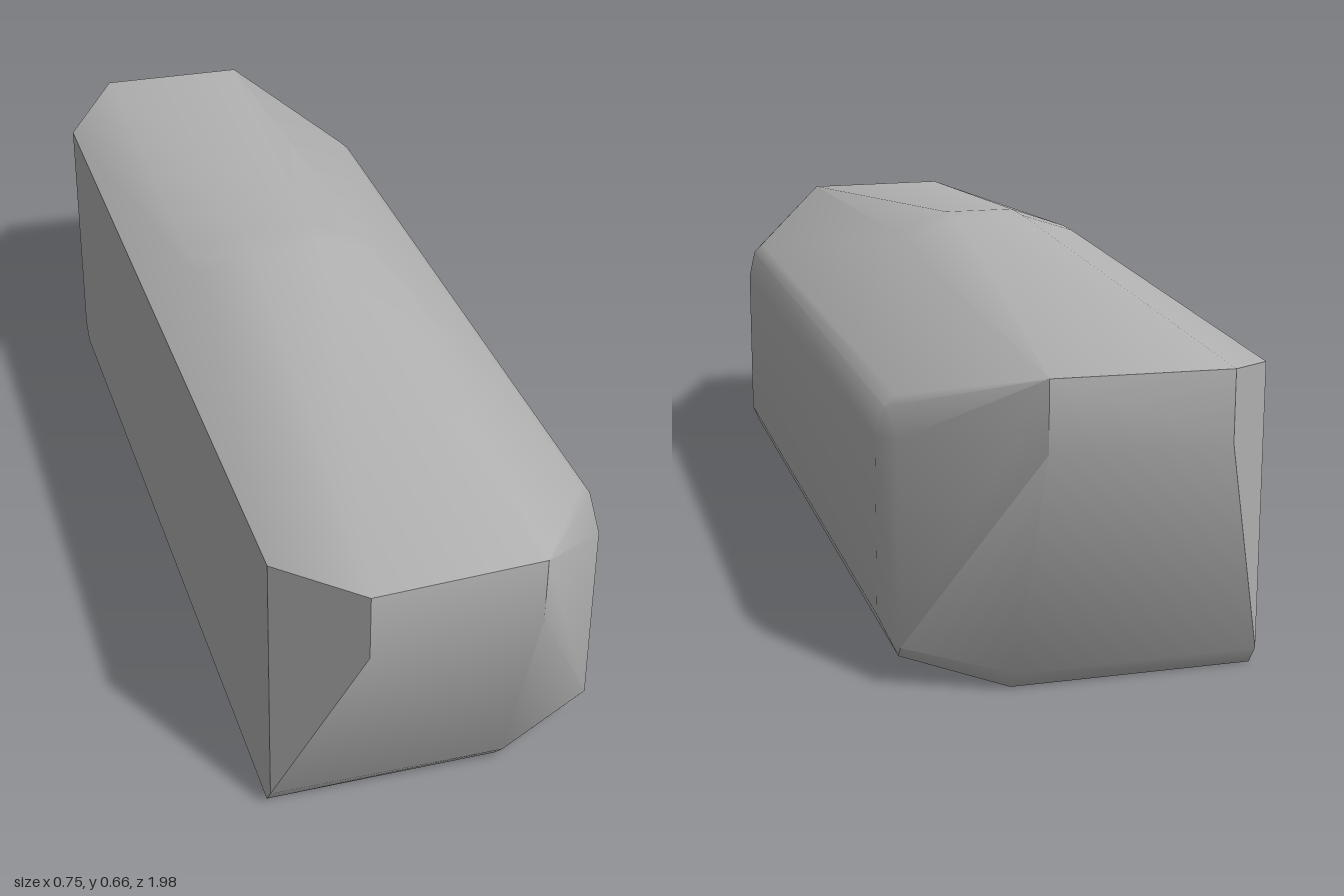
import * as THREE from 'three';
import { ConvexGeometry } from 'three/addons/geometries/ConvexGeometry.js';
import { toCreasedNormals } from 'three/addons/utils/BufferGeometryUtils.js';

// Corners of one half of the block: [across, height, along]; mirrored along its length
const halfCorners = [
  // flat wall side
  [-0.31, 0, 0.795], [-0.31, 0.035, 0.82], [-0.31, 0.535, 0.82],
  // upright end face
  [-0.19, 0.45, 0.985], [0.107, 0.45, 0.975],
  [-0.19, 0.57, 0.985], [0.107, 0.57, 0.975],
  // foot of the end and the underside
  [0.115, 0, 0.8], [0.115, 0.035, 0.83],
  [0.295, 0.055, 0.755], [0.295, 0.075, 0.77],
  // rounded long side and its shoulder
  [0.317, 0.105, 0.69], [0.317, 0.415, 0.69],
  [0.295, 0.43, 0.765], [0.303, 0.468, 0.7], [0.285, 0.485, 0.7],
  // low ridge across the middle of the top
  [-0.225, 0.62, 0.03], [-0.12, 0.656, 0.04], [0.015, 0.656, 0.04], [0.12, 0.62, 0.03],
];

export function createModel() {
  const group = new THREE.Group();
  group.name = 'stoneBlock';
  const stone = new THREE.MeshStandardMaterial({ color: 0xb4b4b4 });
  stone.name = 'grey stone';

  const points = [];
  for (const [x, y, z] of halfCorners) {
    for (const side of [1, -1]) points.push(new THREE.Vector3(x, y, z * side));
  }

  // Gentle edges are smooth, strong ones stay sharp
  const geometry = toCreasedNormals(new ConvexGeometry(points), 0.6);
  geometry.rotateY(THREE.MathUtils.degToRad(4.9));

  const block = new THREE.Mesh(geometry, stone);
  block.name = 'block';
  group.add(block);
  return group;
}
